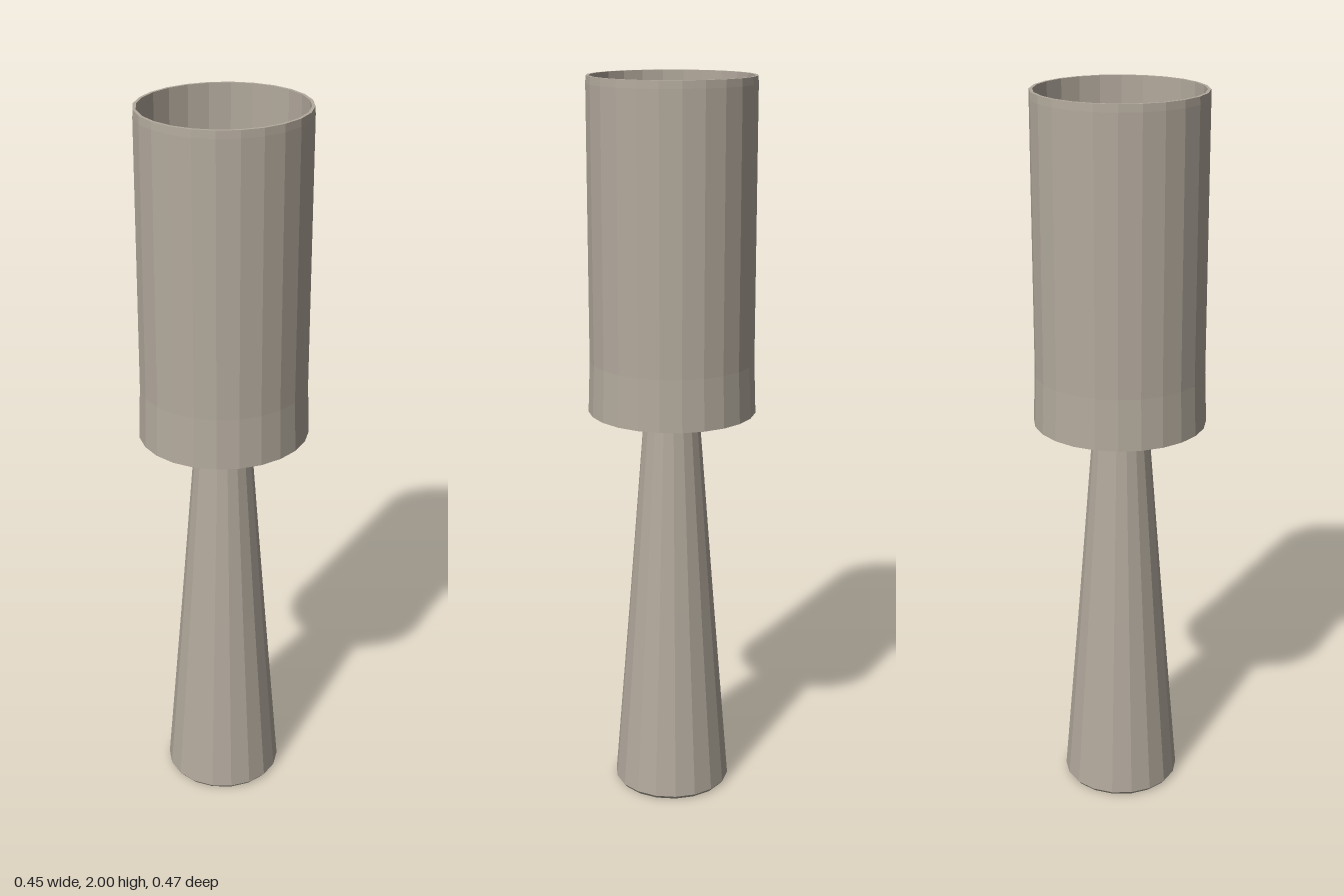
import * as THREE from 'three';

// Faceted solid of revolution from [radius, height] pairs, turned half a facet
function turned(name, points, sides, material) {
  const geometry = new THREE.LatheGeometry(points.map(([r, y]) => new THREE.Vector2(r, y)), sides, Math.PI / sides);
  const mesh = new THREE.Mesh(geometry, material);
  mesh.name = name;
  return mesh;
}

export function createModel() {
  const stone = new THREE.MeshStandardMaterial({ color: 0xb3aa9d, flatShading: true });
  stone.name = 'warm grey';
  const white = new THREE.MeshStandardMaterial({ color: 0xf0f0f0 });
  white.name = 'bulb white';

  const lamp = new THREE.Group();
  lamp.name = 'tableLamp';

  // Tapered solid foot, running up inside the shade
  const base = turned('base', [
    [0, 0], [0.155, 0], [0.163, 0.01], [0.119, 0.55], [0.076, 1.1], [0.065, 1.3], [0, 1.3],
  ], 18, stone);
  base.position.z = 0.003;

  // Open tube with a thin wall and a slight flare at the lower rim
  const shade = turned('shade', [
    [0.214, 2], [0.214, 1.11], [0.228, 1.11], [0.223, 1.25], [0.223, 1.98], [0.222, 2], [0.214, 2],
  ], 24, stone);
  shade.scale.z = 1.03;

  // Round bulb on top of the foot
  const bulb = new THREE.Mesh(new THREE.SphereGeometry(0.081, 14, 10), white);
  bulb.name = 'bulb';
  bulb.position.set(0, 1.35, -0.006);

  lamp.add(base, shade, bulb);
  return lamp;
}
